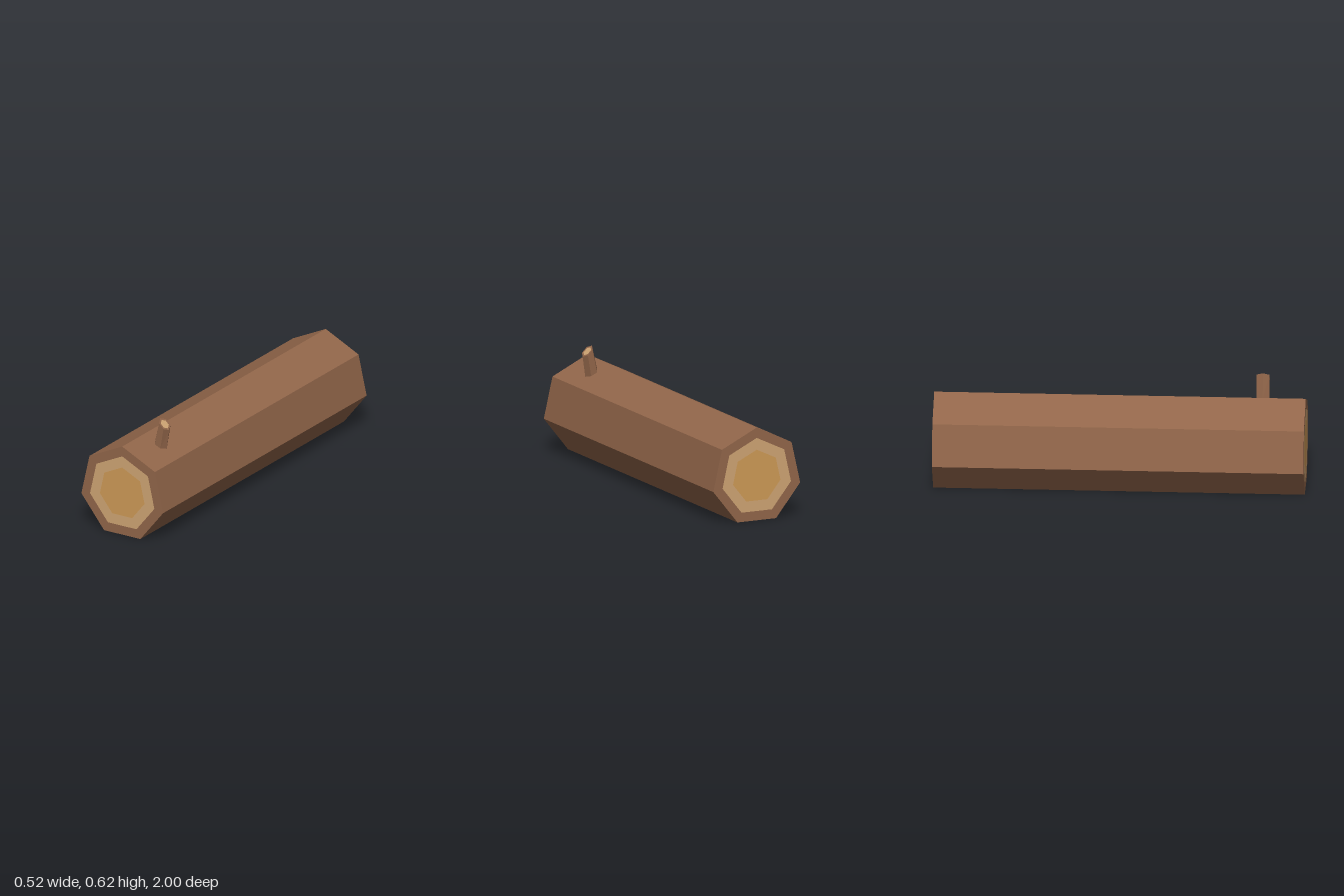
import * as THREE from 'three';

const material = (name, color) => {
  const m = new THREE.MeshStandardMaterial({ color, flatShading: true });
  m.name = name;
  return m;
};

export function createModel() {
  const bark = material('bark', 0x92664a);
  const sapwood = material('sapwood', 0xd0a574);
  const heartwood = material('heartwood', 0xcf9b57);

  const group = new THREE.Group();
  group.name = 'log';
  const add = (parent, name, geometry, mat) => {
    const mesh = new THREE.Mesh(geometry, mat);
    mesh.name = name;
    parent.add(mesh);
    return mesh;
  };

  // Flat cut face: nested polygon rings, from the bark inwards
  const cutFace = (name, radii, sides, mats) => {
    const face = new THREE.Group();
    face.name = name;
    const labels = ['barkRim', 'sapwoodRing', 'heartwoodCore'];
    radii.forEach((r, i) => {
      const geometry = i < radii.length - 1
        ? new THREE.RingGeometry(radii[i + 1], r, sides, 1, Math.PI / 2)
        : new THREE.CircleGeometry(r, sides, Math.PI / 2);
      add(face, labels[i], geometry, mats[i]);
    });
    return face;
  };

  // Seven-sided trunk lying along z
  const R = 0.269, centreY = R * Math.cos(Math.PI / 7);
  const trunk = new THREE.CylinderGeometry(R, R, 2, 7, 1, true, Math.PI);
  trunk.rotateX(Math.PI / 2);
  add(group, 'trunk', trunk, bark).position.y = centreY;

  // Cut ends
  for (const [name, z, turn] of [['frontEnd', 1, 0], ['backEnd', -1, Math.PI]]) {
    const end = cutFace(name, [R, 0.212, 0.147], 7, [bark, sapwood, heartwood]);
    end.position.set(0, centreY, z);
    end.rotation.y = turn;
    group.add(end);
  }

  // Twig stub: six sides, base lying on the bark and top cut at 45 degrees
  const twig = new THREE.Group();
  twig.name = 'twig';
  twig.position.z = 0.765;
  group.add(twig);
  const r = 0.04;
  const base = { x: 0.096, y: 0.465, tilt: -Math.PI / 7 };
  const top = { x: 0.12, y: 0.588, tilt: -Math.PI / 4 };
  const stub = new THREE.CylinderGeometry(r, r, 1, 6, 1, true, Math.PI / 2);
  const pos = stub.attributes.position;
  for (let i = 0; i < pos.count; i++) {
    const end = pos.getY(i) > 0 ? top : base;
    const u = pos.getX(i);
    pos.setXY(i, end.x + u * Math.cos(end.tilt), end.y + u * Math.sin(end.tilt));
  }
  stub.computeVertexNormals();
  add(twig, 'twigBark', stub, bark);

  // Twig cut face
  const cap = cutFace('twigEnd', [r, 0.028], 6, [bark, sapwood]);
  cap.rotation.set(0, Math.PI / 2, Math.PI / 4, 'ZYX');
  cap.position.set(top.x, top.y, 0);
  twig.add(cap);

  return group;
}
